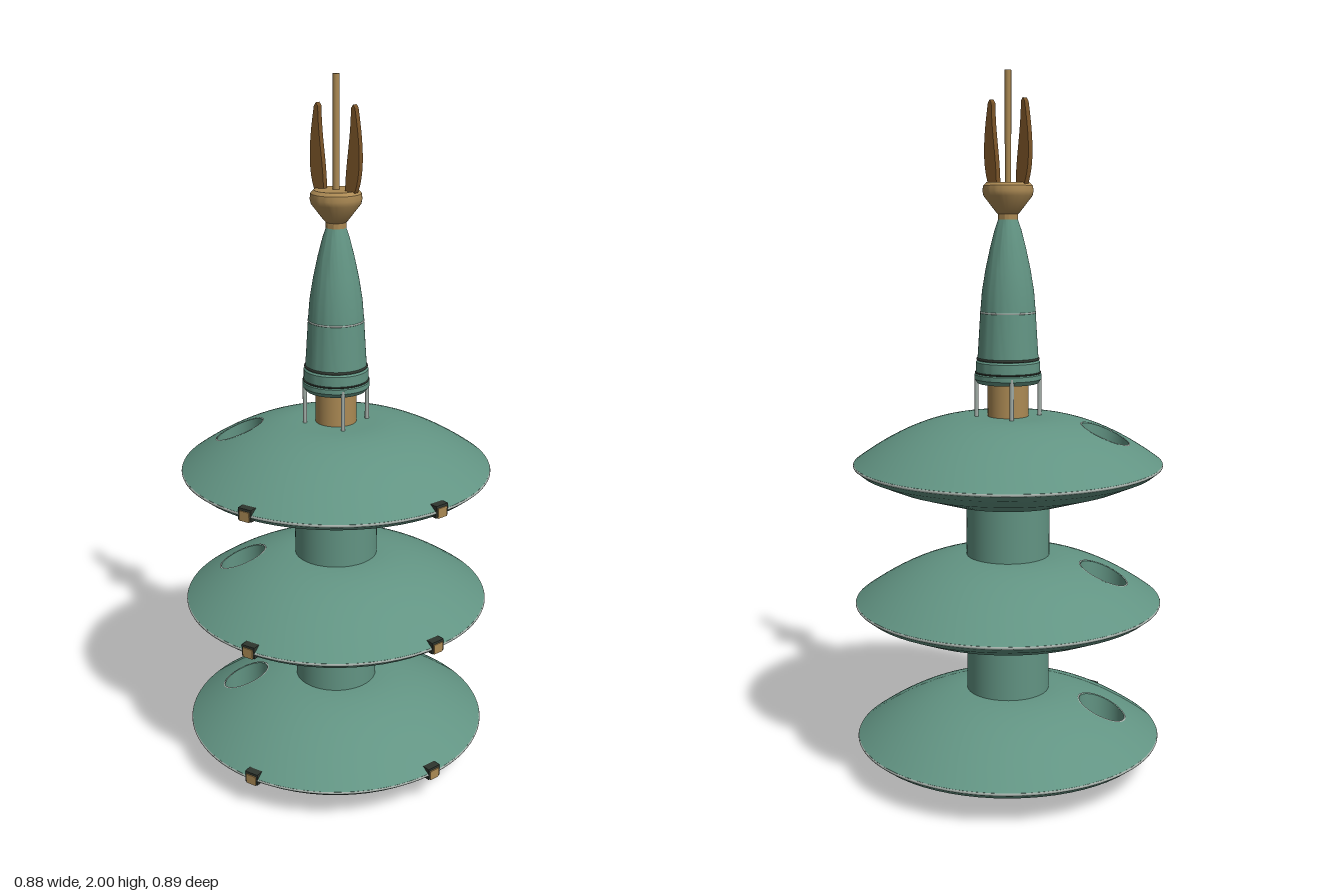
import * as THREE from 'three';
import { mergeVertices, toCreasedNormals } from 'three/addons/utils/BufferGeometryUtils.js';

const mat = (name, color, side = THREE.FrontSide) => {
  const m = new THREE.MeshStandardMaterial({ color, side });
  m.name = name;
  return m;
};

const RIM = 0.44, HATCH_R = 0.066, HATCH_X = -0.255, HATCH_Z = 0.118, STEP = 0.405;

// height of a deck's domed top at a given radius
const domeHeight = (r) => 0.235 - 0.131 * Math.pow(Math.max(0, (r - 0.12) / 0.32), 1.8);

// distance from the hatch centre to the deck rim along a direction
function toRim(dx, dz) {
  const b = HATCH_X * dx + HATCH_Z * dz;
  return -b + Math.sqrt(b * b - HATCH_X ** 2 - HATCH_Z ** 2 + RIM * RIM);
}

// domed skin spreading from the hatch edge out to a boundary
function domeSkin(inner, outer, rings, lift) {
  const g = new THREE.RingGeometry(1, 2, 128, rings).rotateX(-Math.PI / 2);
  const p = g.attributes.position;
  for (let i = 0; i < p.count; i++) {
    const len = Math.hypot(p.getX(i), p.getZ(i));
    const dx = p.getX(i) / len, dz = p.getZ(i) / len;
    const d = inner + (len - 1) * (outer(dx, dz) - inner);
    const x = HATCH_X + dx * d, z = HATCH_Z + dz * d;
    p.setXYZ(i, x, domeHeight(Math.hypot(x, z)) + lift, z);
  }
  g.deleteAttribute('uv');
  g.deleteAttribute('normal');
  const merged = mergeVertices(g, 1e-5);
  merged.computeVertexNormals();
  return merged;
}

// turned part with sharp edges kept
const lathe = (pts, crease = 0.5) => toCreasedNormals(
  new THREE.LatheGeometry(pts.map(([x, y]) => new THREE.Vector2(x, y)), 64), crease);

export function createModel() {
  const model = new THREE.Group();
  model.name = 'tower';
  const green = mat('green paint', 0x629483);
  const greenInside = mat('green hatch lining', 0x629483, THREE.DoubleSide);
  const gold = mat('gold', 0xac8a54);
  const bronze = mat('bronze', 0x7a5428);
  const silver = mat('silver trim', 0xa3aea8);
  const dark = mat('dark recess', 0x2f362f);

  const add = (parent, name, geometry, material, x = 0, y = 0, z = 0) => {
    const m = new THREE.Mesh(geometry, material);
    m.name = name;
    m.position.set(x, y, z);
    parent.add(m);
    return m;
  };

  // three stacked decks
  const top = domeSkin(HATCH_R, toRim, 28, 0);
  const hatchRing = domeSkin(HATCH_R, () => HATCH_R + 0.004, 1, 0.002);
  const belly = lathe([[0, 0], [0.2, 0], [0.34, 0.045], [0.42, 0.08], [RIM, 0.096], [RIM, 0.104]], 0.6);
  const band = new THREE.TorusGeometry(0.4385, 0.004, 8, 128).rotateX(Math.PI / 2);

  // hatch wall, its upper edge following the dome
  const wall = new THREE.CylinderGeometry(HATCH_R, HATCH_R, 1, 48, 1, true);
  const wp = wall.attributes.position;
  for (let i = 0; i < wp.count; i++) {
    const r = Math.hypot(wp.getX(i) + HATCH_X, wp.getZ(i) + HATCH_Z);
    wp.setY(i, wp.getY(i) > 0 ? domeHeight(r) : 0.1);
  }

  for (let i = 0; i < 3; i++) {
    const deck = new THREE.Group();
    deck.name = 'deck' + (i + 1);
    deck.position.y = i * STEP;
    model.add(deck);
    add(deck, 'deckTop', top, green);
    add(deck, 'deckBelly', belly, green);
    add(deck, 'rimBand', band, silver, 0, 0.1, 0);
    add(deck, 'hatchRing', hatchRing, silver);
    add(deck, 'hatchWall', wall, greenInside, HATCH_X, 0, HATCH_Z);
    add(deck, 'hatchFloor', new THREE.CircleGeometry(HATCH_R, 48).rotateX(-Math.PI / 2), dark,
      HATCH_X, 0.102, HATCH_Z);
    for (const s of [-1, 1])
      add(deck, 'hatchRung', new THREE.BoxGeometry(0.072, 0.008, 0.007), gold,
        HATCH_X, 0.112, HATCH_Z + s * 0.018);

    // rim clips
    for (const a of [0, THREE.MathUtils.degToRad(72)]) {
      const clip = new THREE.Group();
      clip.name = 'rimClip';
      clip.rotation.y = a;
      deck.add(clip);
      add(clip, 'clipFrame', new THREE.BoxGeometry(0.042, 0.034, 0.03), dark, 0, 0.102, 0.427);
      add(clip, 'clipPlate', new THREE.BoxGeometry(0.032, 0.028, 0.004), gold, 0, 0.098, 0.443);
    }

    // column up to the next deck
    if (i < 2)
      add(model, 'column', new THREE.CylinderGeometry(0.12, 0.12, 0.2, 64, 1, true), green,
        0, i * STEP + 0.32, 0);
  }

  // exposed core and its four struts
  add(model, 'core', new THREE.CylinderGeometry(0.058, 0.058, 0.13, 48), gold, 0, 1.095, 0);
  for (let i = 0; i < 4; i++) {
    const a = Math.PI / 4 + i * Math.PI / 2;
    add(model, 'strut', new THREE.CylinderGeometry(0.006, 0.006, 0.13, 10), silver,
      Math.sin(a) * 0.09, 1.095, Math.cos(a) * 0.09);
  }

  // nose collar, seam lines and tapering nose
  add(model, 'noseCollar', lathe([[0, 1.14], [0.086, 1.14], [0.095, 1.152], [0.095, 1.165],
    [0.091, 1.17], [0.091, 1.2], [0.084, 1.208]]), green);
  add(model, 'noseCone', lathe([[0.087, 1.2], [0.083, 1.26], [0.078, 1.34], [0.073, 1.4],
    [0.063, 1.46], [0.05, 1.52], [0.037, 1.57], [0.025, 1.605], [0, 1.605]]), green);
  const seam = (name, r, y, tube, m) =>
    add(model, name, new THREE.TorusGeometry(r, tube, 8, 64).rotateX(Math.PI / 2), m, 0, y, 0);
  seam('collarSeam', 0.0855, 1.209, 0.004, dark);
  seam('lowerSeam', 0.0915, 1.17, 0.0025, dark);
  seam('noseSeam', 0.0765, 1.34, 0.003, silver);

  // finial cup and central rod
  add(model, 'finialCup', lathe([[0, 1.597], [0.028, 1.597], [0.028, 1.612], [0.034, 1.618],
    [0.068, 1.662], [0.071, 1.675], [0.069, 1.69], [0.06, 1.699], [0, 1.7]], 0.6), gold);
  add(model, 'rod', new THREE.CylinderGeometry(0.009, 0.009, 0.31, 16), gold, 0, 1.845, 0);

  // curved prongs either side of the rod
  const horn = new THREE.Shape();
  horn.moveTo(0.034, 1.69);
  horn.lineTo(0.062, 1.69);
  horn.bezierCurveTo(0.082, 1.74, 0.084, 1.8, 0.064, 1.915);
  horn.lineTo(0.058, 1.924);
  horn.lineTo(0.052, 1.915);
  horn.bezierCurveTo(0.05, 1.82, 0.036, 1.78, 0.034, 1.69);
  const hornGeo = new THREE.ExtrudeGeometry(horn, { depth: 0.018, bevelEnabled: false, curveSegments: 12 })
    .translate(0, 0, -0.009);
  add(model, 'leftProng', hornGeo, bronze);
  add(model, 'rightProng', hornGeo, bronze).rotation.y = Math.PI;

  return model;
}
